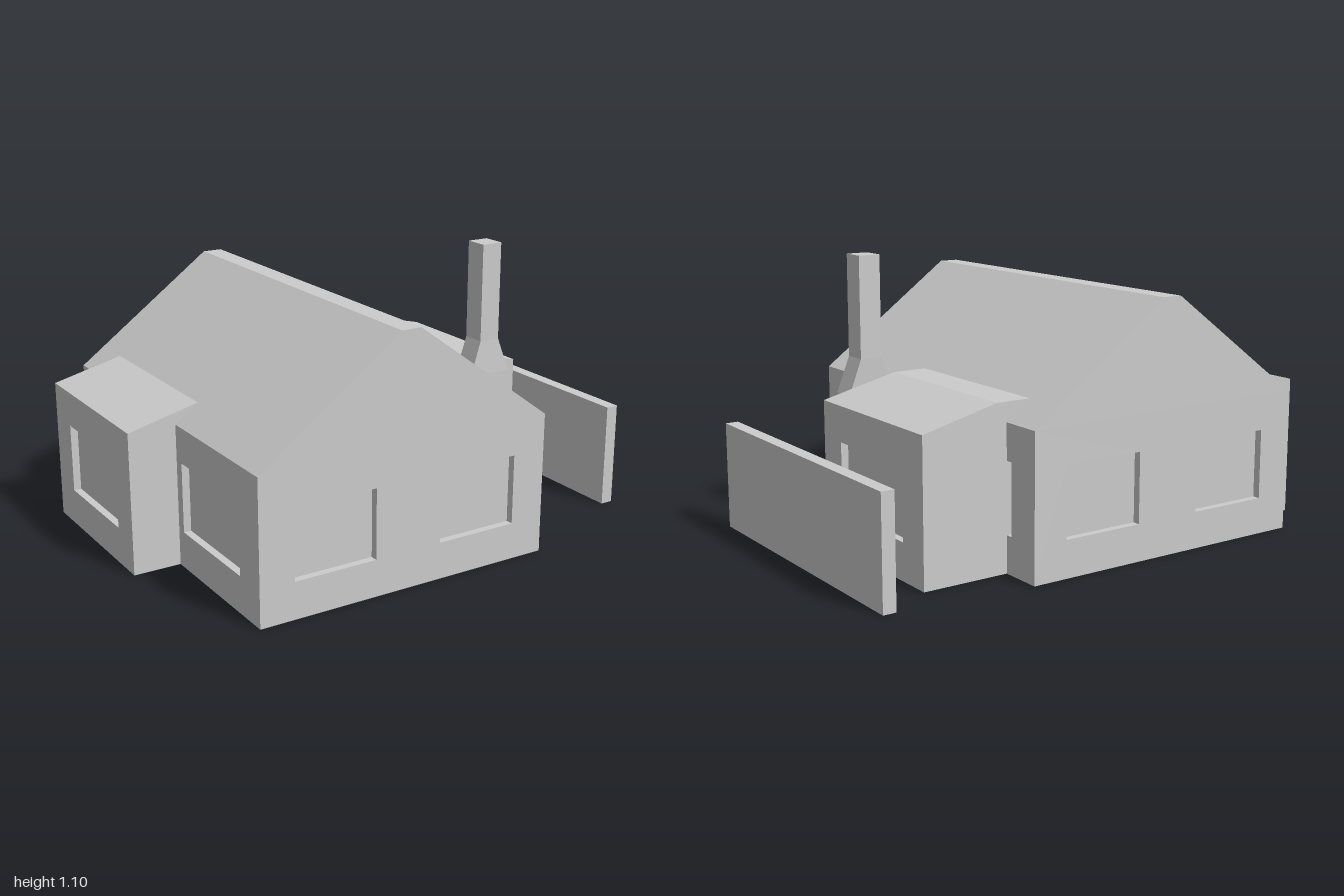
import * as THREE from 'three';

const material = new THREE.MeshStandardMaterial({ color: 0xcccccc, flatShading: true });
const T = 0.03;                    // depth of the window recesses
const SILL = 0.145, HEAD = 0.42;   // window bottom and top
const EAVE = 0.56, LINTEL = 0.5;   // wall height, and top of the side wall panels

function add(parent, name, geometry, x = 0, y = 0, z = 0) {
  const mesh = new THREE.Mesh(geometry, material);
  mesh.name = name;
  mesh.position.set(x, y, z);
  parent.add(mesh);
  return mesh;
}

// Extrudes an outline, with window openings given as [from, to] spans
function slab(points, depth, windows = []) {
  const shape = new THREE.Shape(points.map(([x, y]) => new THREE.Vector2(x, y)));
  for (const [a, b] of windows) {
    shape.holes.push(new THREE.Path([[a, SILL], [a, HEAD], [b, HEAD], [b, SILL]]
      .map(([x, y]) => new THREE.Vector2(x, y))));
  }
  return new THREE.ExtrudeGeometry(shape, { depth, bevelEnabled: false });
}

// Wall panel facing sideways, from z0 to z1, with its inner-left face at x
function sideWall(parent, name, x, z0, z1, windows) {
  const outline = [[-z1, 0], [-z0, 0], [-z0, LINTEL], [-z1, LINTEL]];
  const geometry = slab(outline, T, windows.map(([a, b]) => [-b, -a]));
  geometry.rotateY(Math.PI / 2);
  add(parent, name, geometry, x);
}

// Box whose top has its own size and z offset
function taperedBox(w, h, d, topW, topD, shiftZ) {
  const geometry = new THREE.BoxGeometry(w, h, d).toNonIndexed();
  const p = geometry.attributes.position;
  for (let i = 0; i < p.count; i++) {
    if (p.getY(i) > 0) {
      p.setX(i, Math.sign(p.getX(i)) * topW / 2);
      p.setZ(i, Math.sign(p.getZ(i)) * topD / 2 + shiftZ);
    }
  }
  geometry.computeVertexNormals();
  return geometry;
}

function createHouse() {
  const house = new THREE.Group();
  house.name = 'mainHouse';
  const L = -0.81, R = 0.42, Z = 0.755;
  const roof = [[R, EAVE], [-0.155, 0.98], [-0.235, 0.98], [L, EAVE]];

  // Core behind the recessed panes, carrying the roof
  const core = [[L + T, 0], [R - T, 0], [R - T, LINTEL], [R, LINTEL], ...roof, [L, LINTEL], [L + T, LINTEL]];
  add(house, 'coreAndRoof', slab(core, 2 * (Z - T)), 0, 0, -(Z - T));

  // Gable walls
  const gable = [[L, 0], [R, 0], ...roof];
  const gableWindows = [[-0.67, -0.335], [-0.055, 0.28]];
  add(house, 'frontGable', slab(gable, T, gableWindows), 0, 0, Z - T);
  add(house, 'backGable', slab(gable, T, gableWindows), 0, 0, -Z);

  // Long walls
  const sideWindows = [[-0.615, -0.17], [0.17, 0.615]];
  sideWall(house, 'leftWall', R - T, -Z + T, Z - T, sideWindows);
  sideWall(house, 'rightWall', L, -Z + T, Z - T, sideWindows);
  return house;
}

// Side wing from the house wall out to x = outer; side is +1 or -1
function createWing(name, side, outer, roofX, roofY, inner) {
  const wing = new THREE.Group();
  wing.name = name;
  const z0 = -0.585, z1 = 0.13;
  const pane = outer - side * T;
  const root = side > 0 ? 0.38 : -0.77;
  const profile = [[root, 0], [pane, 0], [pane, LINTEL], [outer, LINTEL], [outer, EAVE],
    [roofX, roofY], [inner, roofY], [root, EAVE]];
  add(wing, 'wingBody', slab(profile, z1 - z0), 0, 0, z0);
  sideWall(wing, 'wingWall', side > 0 ? pane : outer, z0, z1, [[-0.445, 0]]);
  return wing;
}

function createChimney() {
  const chimney = new THREE.Group();
  chimney.name = 'chimney';
  add(chimney, 'chimneyBase', new THREE.BoxGeometry(0.19, EAVE, 0.1), 0, EAVE / 2, 0);
  add(chimney, 'chimneyShoulder', taperedBox(0.19, 0.14, 0.1, 0.09, 0.096, -0.007), 0, 0.63, 0);
  add(chimney, 'chimneyStack', new THREE.BoxGeometry(0.09, 0.4, 0.096), 0, 0.9, -0.007);
  chimney.position.set(0.56, 0, 0.187);
  return chimney;
}

export function createModel() {
  const model = new THREE.Group();
  model.name = 'house';
  model.add(createHouse());
  model.add(createWing('leftWing', 1, 0.77, 0.46, 0.635, 0.32));
  model.add(createWing('rightWing', -1, -1, -0.715, 0.629, -0.7));
  model.add(createChimney());
  // Free-standing garden wall
  add(model, 'gardenWall', new THREE.BoxGeometry(0.052, 0.425, 1.23), 0.974, 0.2125, -0.085);
  return model;
}
